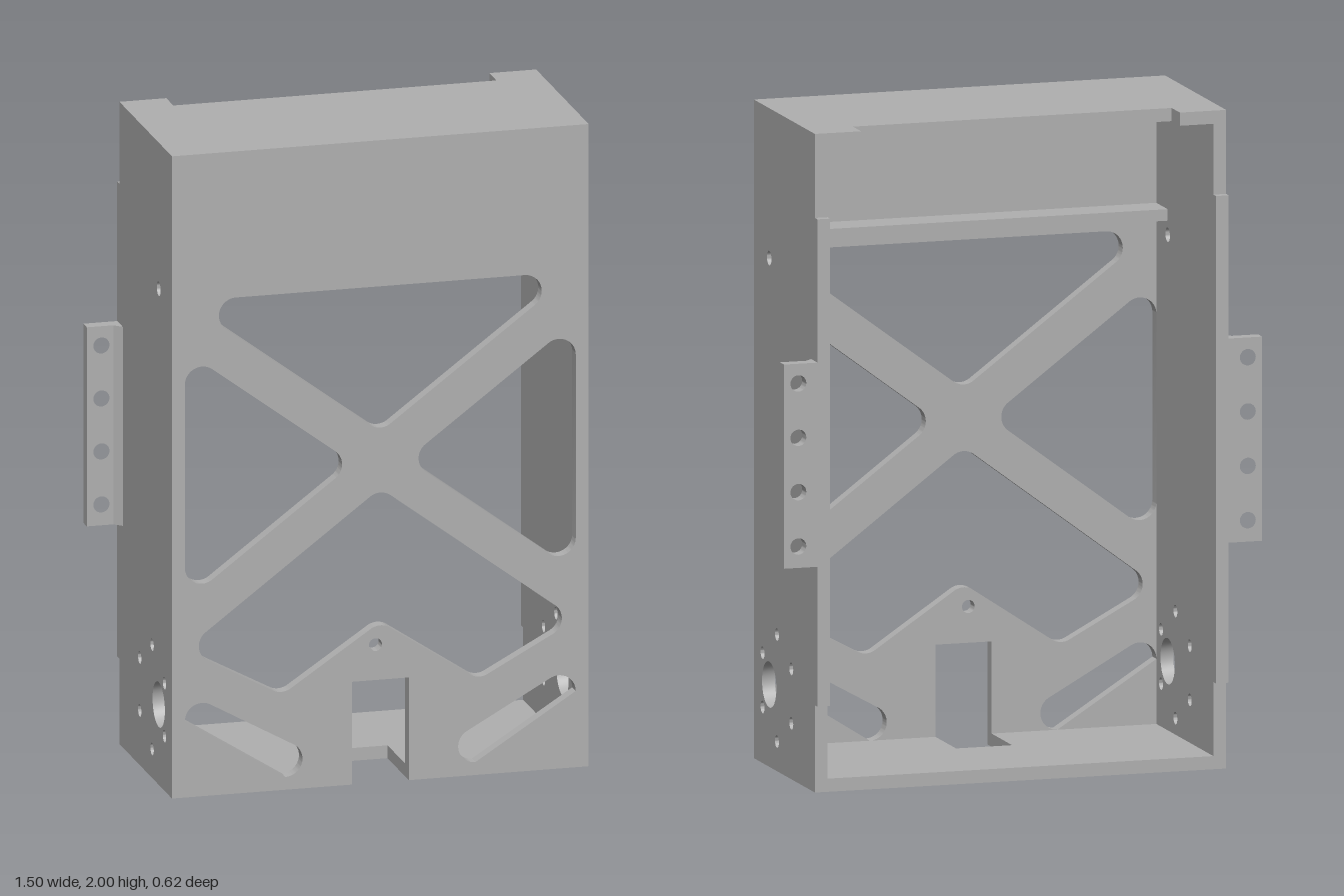
import * as THREE from 'three';
import { toCreasedNormals } from 'three/addons/utils/BufferGeometryUtils.js';

const W = 0.645, T = 0.04, IN = W - T;   // half width, wall thickness, inner half width
const FRONT = 0.31, BACK = -0.285, LIP = -0.31, H = 2;

// Closed path through corners; a corner [x, y, r] with r > 0 is rounded by a true arc.
function outline(points, path = new THREE.Shape()) {
  const n = points.length;
  points.forEach(([x, y, r], i) => {
    const p = new THREE.Vector2(x, y);
    if (!r) {
      if (i === 0) path.moveTo(x, y); else path.lineTo(x, y);
      return;
    }
    const a = new THREE.Vector2(...points[(i + n - 1) % n].slice(0, 2)).sub(p).normalize();
    const b = new THREE.Vector2(...points[(i + 1) % n].slice(0, 2)).sub(p).normalize();
    const half = Math.acos(a.dot(b)) / 2, t = r / Math.tan(half);
    const c = a.clone().add(b).normalize().multiplyScalar(r / Math.sin(half)).add(p);
    const s = a.multiplyScalar(t).add(p).sub(c), e = b.multiplyScalar(t).add(p).sub(c);
    path.absarc(c.x, c.y, r, s.angle(), e.angle(), s.cross(e) < 0);
  });
  path.closePath();
  return path;
}

const cutout = (points) => outline(points, new THREE.Path());
const hole = (x, y, r) => new THREE.Path().absarc(x, y, r, 0, Math.PI * 2, true);
const mirrorX = (points) => points.map(([x, ...rest]) => [-x, ...rest]);

function plate(points, holes, depth) {
  const shape = outline(points);
  shape.holes.push(...holes);
  return new THREE.ExtrudeGeometry(shape, { depth, bevelEnabled: false, curveSegments: 16 });
}

export function createModel() {
  const group = new THREE.Group();
  const grey = new THREE.MeshStandardMaterial({ color: 0xb0b0b0 });
  grey.name = 'grey';
  const add = (name, geometry, x = 0, y = 0, z = 0) => {
    const mesh = new THREE.Mesh(toCreasedNormals(geometry, 0.5), grey);
    mesh.name = name;
    mesh.position.set(x, y, z);
    group.add(mesh);
  };

  // Front panel with truss openings and a slot at the foot
  const R = 0.053, slot = 0.088;
  const sideOpening = [[-IN, 1.391, R], [-0.083, 1, R], [-IN, 0.609, R]];
  const footOpening = [[-IN, T], [-IN, 0.328, R], [-0.091, T, R]];
  add('frontPanel', plate(
    [[-IN, 0], [-slot, 0], [-slot, 0.32], [slot, 0.32], [slot, 0], [IN, 0], [IN, H], [-IN, H]],
    [
      cutout([[-0.606, 1.545, R], [0.606, 1.545, R], [0, 1.092, R]]),
      cutout(sideOpening), cutout(mirrorX(sideOpening)),
      cutout([[0, 0.916, R], [-0.607, 0.46, R], [-0.304, 0.297, R],
        [0, 0.5, R], [0.304, 0.297, R], [0.607, 0.46, R]]),
      cutout(footOpening), cutout(mirrorX(footOpening)),
      hole(-0.015, 0.43, 0.02),
    ], T), 0, 0, FRONT - T);

  // Floor, notched behind the front slot
  add('floor', plate(
    [[-IN, BACK], [IN, BACK], [IN, FRONT - T], [slot, FRONT - T], [slot, 0.07],
      [-slot, 0.07], [-slot, FRONT - T], [-IN, FRONT - T]],
    [], T).rotateX(Math.PI / 2), 0, T, 0);

  // Top, cut back along the rear edge
  add('top', plate(
    [[-IN, BACK], [-0.5, BACK], [-0.5, -0.205], [0.5, -0.205], [0.5, BACK], [IN, BACK],
      [IN, FRONT - T], [-IN, FRONT - T]],
    [], T).rotateX(Math.PI / 2), 0, H, 0);

  // Ledge behind the front panel
  add('ledge', new THREE.BoxGeometry(IN * 2, 0.035, 0.11), 0, 1.605, 0.215);

  // Side walls (drawn with -z across), each with a shaft hole and screw holes
  const screws = [[0.085, 0.415], [-0.055, 0.335], [0.225, 0.335],
    [0.225, 0.17], [-0.055, 0.17], [0.085, 0.09]];
  for (const side of [-1, 1]) {
    const label = side > 0 ? 'left' : 'right';
    add(label + 'Wall', plate(
      [[-FRONT, 0], [-BACK, 0], [-BACK, 0.265], [-LIP, 0.265], [-LIP, 1.745],
        [-BACK, 1.745], [-BACK, H], [-FRONT, H]],
      [hole(-0.16, 0.25, 0.07), hole(-0.16, 1.545, 0.022),
        ...screws.map(([z, y]) => hole(-z, y, 0.019))],
      T).rotateY(Math.PI / 2), side > 0 ? IN : -W, 0, 0);

    // Mounting flange with four holes
    add(label + 'Flange', plate(
      [[side * W, 0.69], [side * 0.75, 0.69], [side * 0.75, 1.31], [side * W, 1.31]],
      [0.755, 0.92, 1.085, 1.25].map((y) => hole(side * 0.705, y, 0.025)),
      0.04), 0, 0, LIP);

    // Chamfer between the flange and the wall
    add(label + 'FlangeChamfer', plate(
      [[side * W, -0.27], [side * 0.668, -0.27], [side * W, -0.247]],
      [], 0.62).rotateX(Math.PI / 2), 0, 1.31, 0);
  }
  return group;
}
